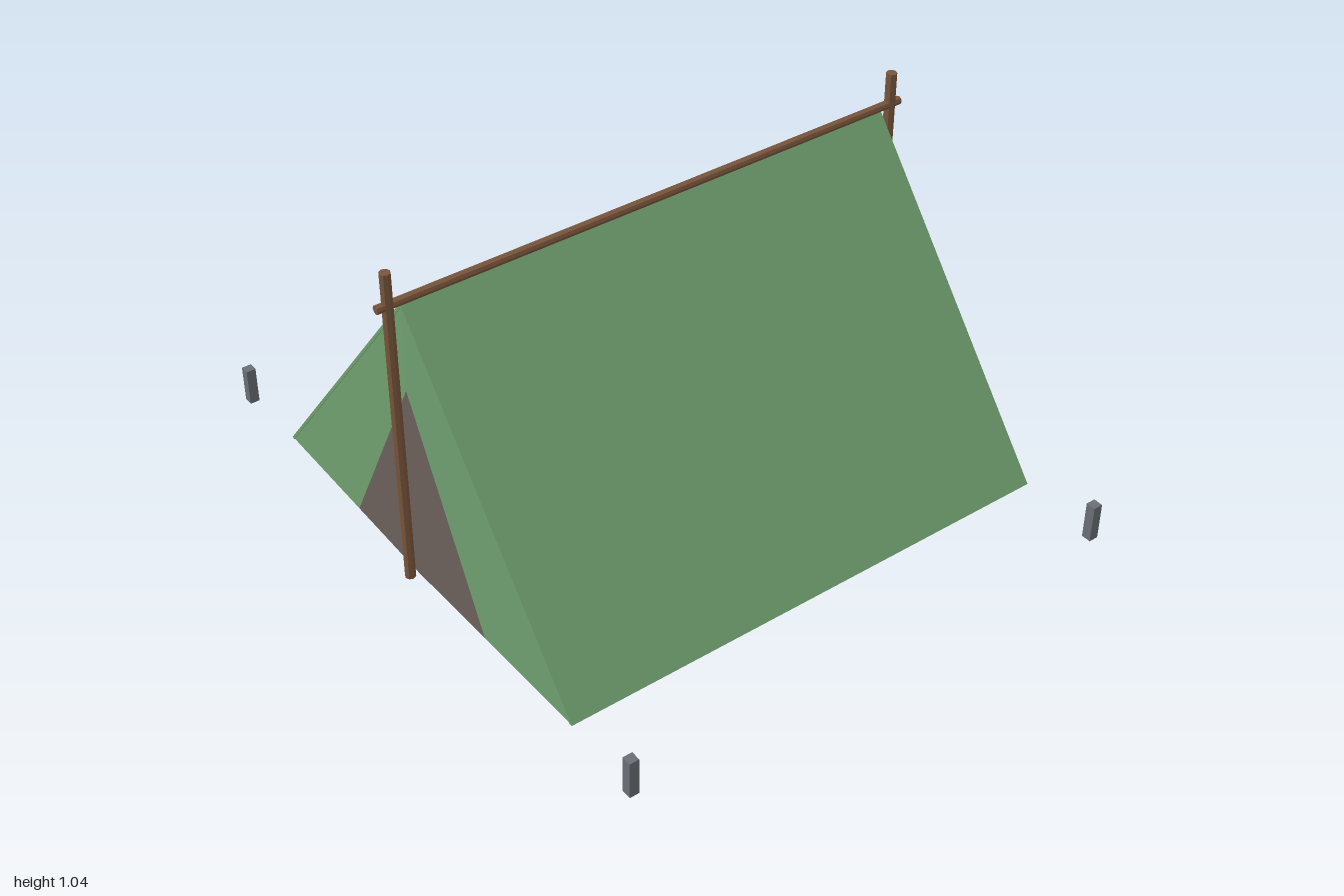
import * as THREE from 'three';

const W = 0.73, Y0 = 0.02, APEX = 0.93, HALF = 0.805;
const DOOR_W = 0.33, DOOR_TOP = 0.65;

const mat = (color, open = false) => new THREE.MeshStandardMaterial({
  color, flatShading: true, side: open ? THREE.DoubleSide : THREE.FrontSide });

const shape = (points) => new THREE.Shape(points.map(([x, y]) => new THREE.Vector2(x, y)));

export function createModel() {
  const model = new THREE.Group();
  const canvas = mat(0x6f9f6f, true), doorCloth = mat(0x6b5f5a, true);
  const wood = mat(0x7a563c), metal = mat(0x6a6e76);

  const add = (name, geometry, material, x = 0, y = 0, z = 0) => {
    const mesh = new THREE.Mesh(geometry, material);
    mesh.name = name;
    mesh.position.set(x, y, z);
    model.add(mesh);
    return mesh;
  };

  // End cloth swells slightly outward toward the middle of its bottom edge
  const endCloth = (points, z, bulge) => {
    const geo = new THREE.ShapeGeometry(shape(points));
    const p = geo.attributes.position;
    for (let i = 0; i < p.count; i++) {
      const w = 1 - (p.getY(i) - Y0) / (APEX - Y0) - Math.abs(p.getX(i)) / W;
      p.setZ(i, z + bulge * Math.max(0, w));
    }
    geo.computeVertexNormals();
    return geo;
  };

  // Two sloping roof sheets with a little thickness, open underneath
  const t = 0.012;
  add('roof', new THREE.ExtrudeGeometry(
    shape([[-W, Y0], [-W + t, Y0], [0, APEX - t * 1.25], [W - t, Y0], [W, Y0], [0, APEX]]),
    { depth: 2 * HALF, bevelEnabled: false }), canvas, 0, 0, -HALF);

  // Front and back walls in mirrored halves; the front leaves room for the door
  for (const s of [1, -1]) {
    const side = s > 0 ? 'left' : 'right';
    add(side + 'FrontWall', endCloth(
      [[s * W, Y0], [0, APEX], [0, DOOR_TOP], [s * DOOR_W, Y0]], 0.803, 0.012), canvas);
    add(side + 'Door', endCloth([[0, Y0], [s * DOOR_W, Y0], [0, DOOR_TOP]], 0.803, 0.012), doorCloth);
    add(side + 'BackWall', endCloth([[0, Y0], [s * W, Y0], [0, APEX]], -0.803, -0.006), canvas);
  }

  // Upright poles at both ends, and the ridge pole across them
  for (const s of [1, -1]) {
    add(s > 0 ? 'frontPole' : 'backPole',
      new THREE.CylinderGeometry(0.016, 0.016, 1.02, 8), wood, 0, 0.53, s * 0.84);
  }
  add('ridgePole', new THREE.CylinderGeometry(0.013, 0.013, 1.75, 8), wood, 0, 0.938, 0)
    .rotation.x = Math.PI / 2;

  // Four ground pegs
  for (const x of [-0.985, 0.985]) for (const z of [-0.803, 0.803]) {
    add('peg', new THREE.BoxGeometry(0.03, 0.12, 0.03), metal, x, 0.06, z);
  }
  return model;
}
